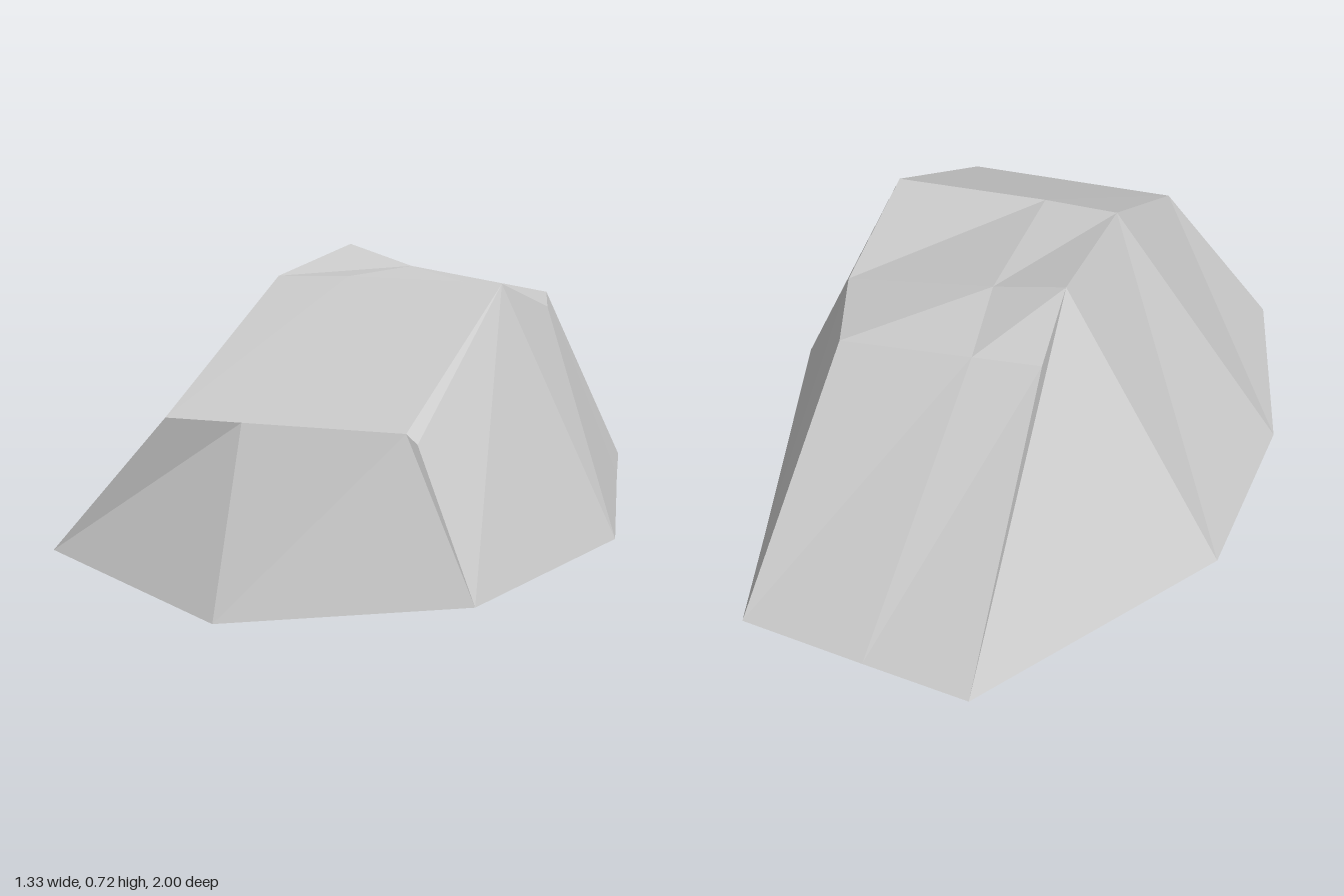
import * as THREE from 'three';

// Faceted boulder: a crown grid of facets, sloping sides and a nearly flat underside
export function createModel() {
  const group = new THREE.Group();
  group.name = 'boulder';
  const stone = new THREE.MeshStandardMaterial({ color: 0xc8c8c8 });
  stone.name = 'stone grey';

  // Crown rows from front to back, each from -x to +x
  const crown = [
    [[-0.22, 0.40, 0.79], [-0.03, 0.40, 0.79], [0.36, 0.40, 0.79]],
    [[-0.22, 0.67, 0.19], [-0.03, 0.675, 0.19], [0.37, 0.67, 0.19]],
    [[-0.22, 0.72, -0.27], [-0.03, 0.668, -0.24], [0.37, 0.58, -0.18]],
    [[-0.22, 0.62, -0.46], [-0.05, 0.61, -0.46], [0.28, 0.59, -0.46]],
  ];
  const chip = [0.39, 0.38, 0.80]; // chipped front corner

  // Columns around the rock, counterclockwise from above: [foot, rim]
  const h = 0.07;
  const columns = [
    [[0.66, h, 0.19], crown[1][2]],
    [[0.45, h, -0.60], crown[2][2]],
    [[0.37, h, -0.91], crown[3][2]],
    [[0.05, h, -0.96], crown[3][1]],
    [[-0.22, h, -1.00], crown[3][0]],
    [[-0.64, h, -0.36], crown[2][0]],
    [[-0.67, h, 0.19], crown[1][0]],
    [[-0.52, h, 0.79], crown[0][0]],
    [[0, 0, 1.00], crown[0][1]],
    [[0.56, h, 0.91], crown[0][2]],
    [[0.56, h, 0.91], chip],
  ];

  const addPart = (name, polygons) => {
    const points = [];
    for (const p of polygons) {
      for (let i = 1; i < p.length - 1; i++) {
        if (p[0].every((v, k) => v === p[i][k])) continue; // shared foot
        points.push(...p[0], ...p[i], ...p[i + 1]);
      }
    }
    const geometry = new THREE.BufferGeometry();
    geometry.setAttribute('position', new THREE.Float32BufferAttribute(points, 3));
    geometry.computeVertexNormals(); // unshared corners give flat facets
    const mesh = new THREE.Mesh(geometry, stone);
    mesh.name = name;
    group.add(mesh);
  };

  const top = [[crown[0][2], chip, crown[1][2]]];
  for (let r = 0; r < 3; r++) {
    for (let c = 0; c < 2; c++) {
      top.push([crown[r][c], crown[r][c + 1], crown[r + 1][c + 1], crown[r + 1][c]]);
    }
  }
  addPart('crown', top);

  const sides = [], underside = [];
  const centre = [0, h, 0.19];
  columns.forEach(([foot, rim], i) => {
    const [nextFoot, nextRim] = columns[(i + 1) % columns.length];
    sides.push([foot, nextFoot, nextRim, rim]);
    if (foot.some((v, k) => v !== nextFoot[k])) underside.push([centre, nextFoot, foot]);
  });
  addPart('sides', sides);
  addPart('underside', underside);
  return group;
}
